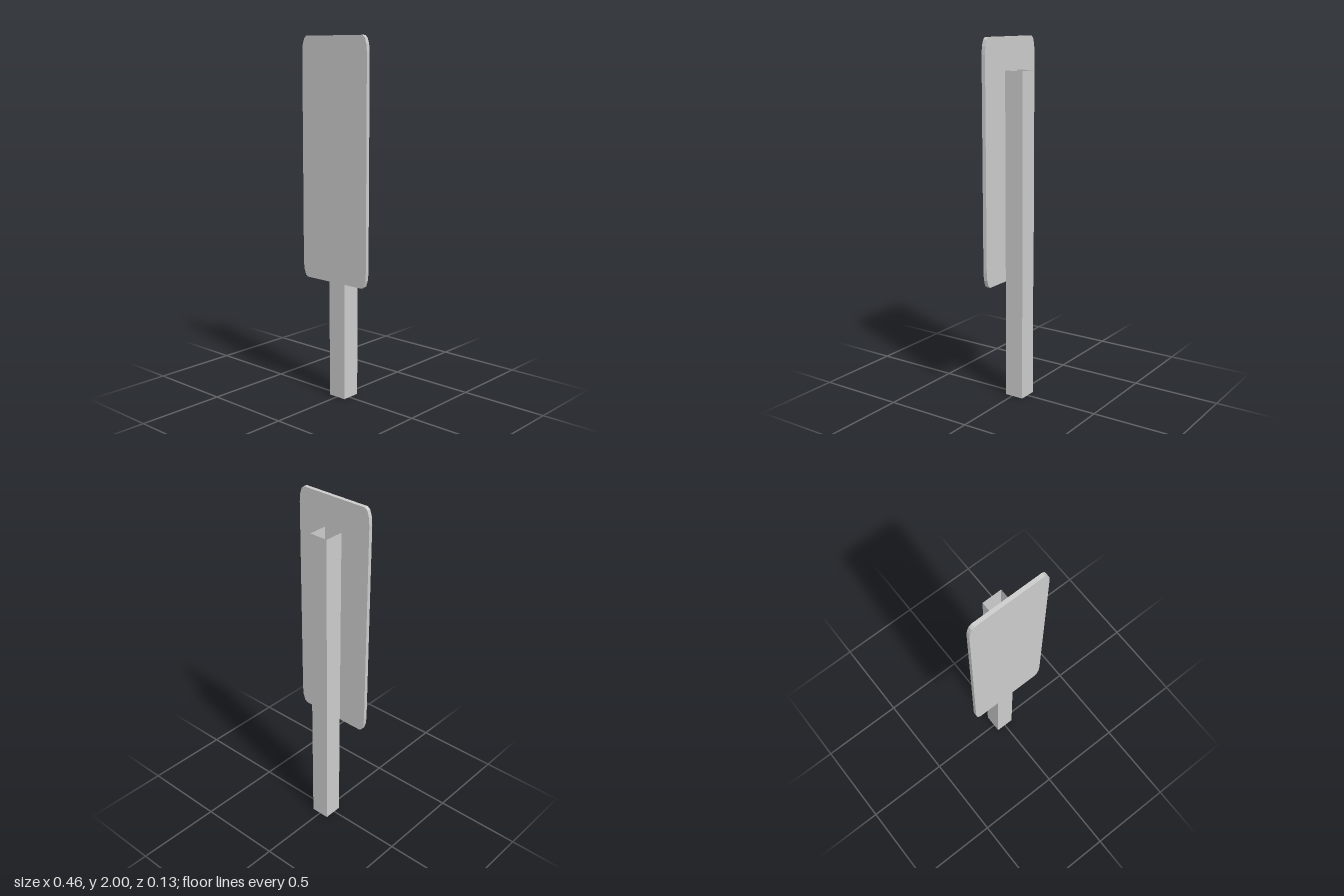
import * as THREE from 'three';

const material = new THREE.MeshStandardMaterial({ color: 0xcccccc, flatShading: true, side: THREE.DoubleSide });

// Flat panel outline with tall, narrow rounded corners
function panelShape(halfW, bottom, top, cornerW, cornerH, steps) {
  const midY = (bottom + top) / 2;
  const halfH = (top - bottom) / 2;
  const points = [];
  for (let q = 0; q < 4; q++) {
    const sx = q === 0 || q === 3 ? 1 : -1;
    const sy = q < 2 ? 1 : -1;
    for (let i = 0; i <= steps; i++) {
      const a = (q + i / steps) * Math.PI / 2;
      points.push(new THREE.Vector2(
        sx * (halfW - cornerW) + Math.cos(a) * cornerW,
        midY + sy * (halfH - cornerH) + Math.sin(a) * cornerH
      ));
    }
  }
  return new THREE.Shape(points);
}

export function createModel() {
  const group = new THREE.Group();

  // Sign panel
  const panelGeo = new THREE.ExtrudeGeometry(
    panelShape(0.23, 0.67, 2, 0.03, 0.09, 3),
    { depth: 0.022, bevelEnabled: false }
  );
  panelGeo.translate(0, 0, 0.045);
  const panel = new THREE.Mesh(panelGeo, material);
  panel.name = 'panel';
  group.add(panel);

  // Hollow square post of thin walls, open at both ends and behind the panel
  const half = 0.055;
  const postHeight = 1.825;
  const post = new THREE.Group();
  post.name = 'post';
  post.position.z = -0.012;
  const walls = [
    ['postFront', 0, 0.7],
    ['postLeft', 1, postHeight],
    ['postBack', 2, postHeight],
    ['postRight', 3, postHeight],
  ];
  for (const [name, turn, height] of walls) {
    const geo = new THREE.PlaneGeometry(half * 2, height);
    geo.translate(0, height / 2, half);
    geo.rotateY(turn * Math.PI / 2);
    const wall = new THREE.Mesh(geo, material);
    wall.name = name;
    post.add(wall);
  }
  group.add(post);

  return group;
}
